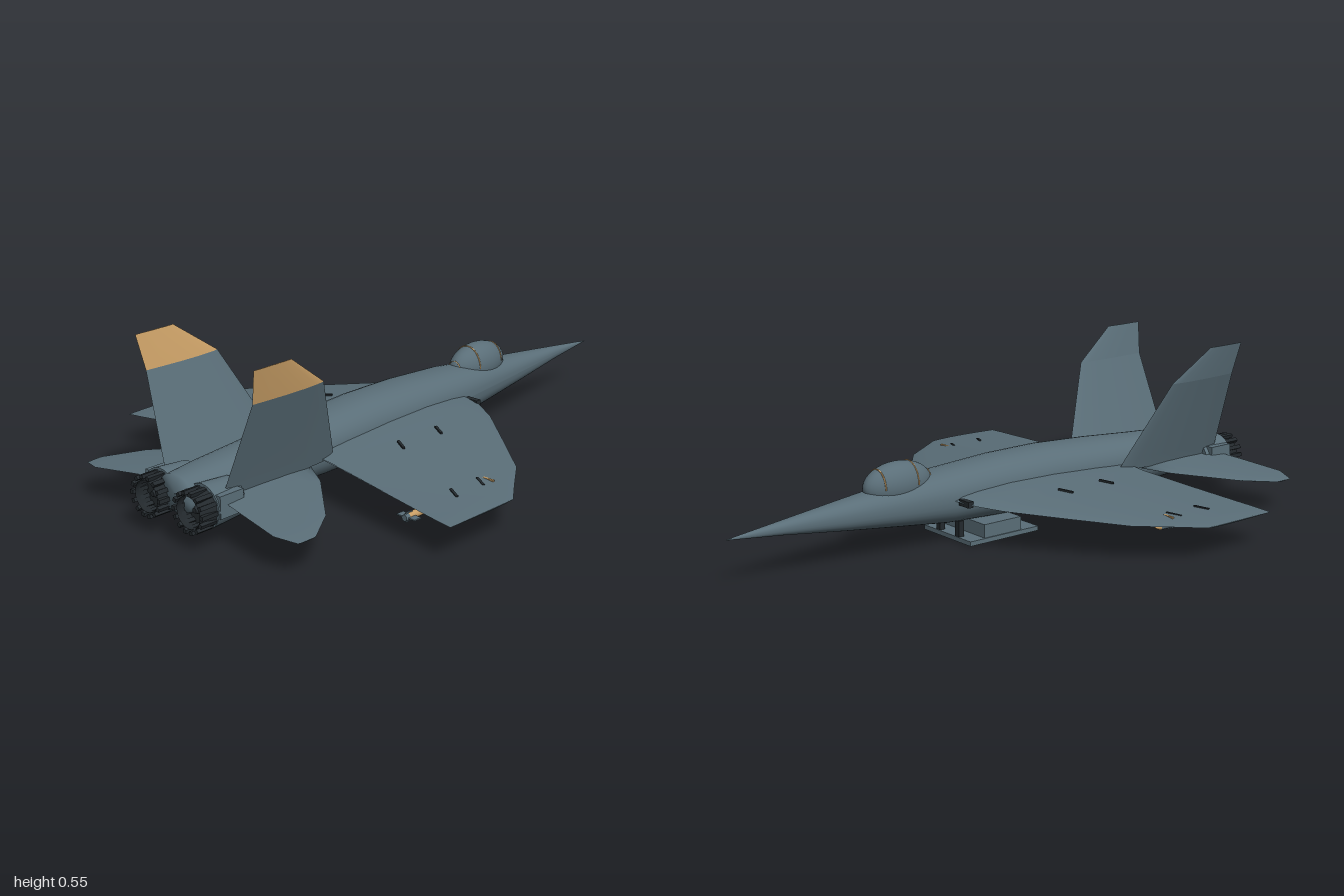
import * as THREE from 'three';

const material = (name, color, side = THREE.DoubleSide) => {
  const m = new THREE.MeshStandardMaterial({ color, side });
  m.name = name;
  return m;
};
const gray = material('slate gray', 0x5a6e78);
const tan = material('tan', 0xc99f66);
const dark = material('dark metal', 0x23292d);

// Smooth sheet through rows of [x, y, z] points
function sheet(rows) {
  const n = rows[0].length, index = [];
  for (let i = 0; i < rows.length - 1; i++) {
    for (let j = 0; j < n - 1; j++) {
      const a = i * n + j, b = a + n;
      index.push(a, b, a + 1, b, b + 1, a + 1);
    }
  }
  const g = new THREE.BufferGeometry();
  g.setAttribute('position', new THREE.Float32BufferAttribute(rows.flat(2), 3));
  g.setIndex(index);
  g.computeVertexNormals();
  return g;
}

// One face of an aerofoil; stations are [x, y, leading z, trailing z, half thickness]
const CHORD = [[0, 0], [0.04, 0.4], [0.12, 0.7], [0.3, 1], [0.55, 0.9], [0.8, 0.5], [1, 0.06]];
function foilFace(stations, side, face, upright) {
  return sheet(stations.map(([x, y, lead, trail, t]) => CHORD.map(([u, f]) => {
    const off = face * t * f;
    const z = lead + (trail - lead) * u;
    return upright ? [side * x + off, y, z] : [side * x, y + off, z];
  })));
}

export function createModel() {
  const model = new THREE.Group();
  model.name = 'jetFighter';
  const add = (name, geometry, mat, x = 0, y = 0, z = 0, parent = model) => {
    const m = new THREE.Mesh(geometry, mat);
    m.name = name;
    m.position.set(x, y, z);
    parent.add(m);
    return m;
  };
  const alongZ = (r0, r1, len, seg = 24, open = false) =>
    new THREE.CylinderGeometry(r1, r0, len, seg, 1, open).rotateX(Math.PI / 2);

  // Fuselage: [z, half width, bottom, top]
  const sections = [
    [-1, 0.001, 0.149, 0.151], [-0.8, 0.023, 0.128, 0.174], [-0.6, 0.05, 0.103, 0.196],
    [-0.4, 0.077, 0.08, 0.217], [-0.22, 0.1, 0.06, 0.236], [0, 0.109, 0.05, 0.248],
    [0.2, 0.111, 0.046, 0.249], [0.42, 0.11, 0.046, 0.237], [0.62, 0.1, 0.05, 0.222],
    [0.84, 0.086, 0.058, 0.208], [0.96, 0.07, 0.08, 0.198], [0.965, 0.001, 0.139, 0.141],
  ];
  add('fuselage', sheet(sections.map(([z, w, lo, hi]) =>
    Array.from({ length: 37 }, (_, i) => {
      const a = i / 36 * Math.PI * 2;
      const round = (v) => Math.sign(v) * Math.abs(v) ** 0.88;
      return [w * round(Math.cos(a)), (lo + hi) / 2 + (hi - lo) / 2 * round(Math.sin(a)), z];
    }))), gray);

  // Canopy with thin frame hoops
  const cz = -0.385, cy = 0.214, rx = 0.06, ry = 0.073, rz = 0.125;
  add('canopy', new THREE.SphereGeometry(1, 32, 20).scale(rx, ry, rz), gray, 0, cy, cz);
  for (const z of [-0.46, -0.34, -0.272]) {
    const k = Math.sqrt(1 - ((z - cz) / rz) ** 2);
    add('canopyFrame', new THREE.TorusGeometry(1, 0.035, 6, 32, Math.PI)
      .scale(rx * k, ry * k, 0.07), tan, 0, cy, z);
  }

  // Belly bay: flat tray, block and front posts
  add('bellyTray', new THREE.BoxGeometry(0.244, 0.015, 0.28), gray, 0, 0.0075, -0.05);
  add('bellyBlock', new THREE.BoxGeometry(0.236, 0.045, 0.15), gray, 0, 0.037, -0.055);

  const wing = [
    [0.06, 0.153, -0.24, 0.5, 0.026], [0.13, 0.149, -0.225, 0.5, 0.025],
    [0.18, 0.144, -0.2, 0.5, 0.023], [0.25, 0.139, -0.16, 0.507, 0.02],
    [0.4, 0.128, -0.04, 0.525, 0.014], [0.56, 0.117, 0.09, 0.545, 0.008],
    [0.64, 0.112, 0.2, 0.555, 0.005], [0.7, 0.108, 0.28, 0.56, 0.004],
    [0.701, 0.108, 0.28, 0.56, 0],
  ];
  const tailplane = [
    [0.1, 0.137, 0.83, 0.9, 0.009], [0.128, 0.135, 0.8, 0.9, 0.01],
    [0.13, 0.135, 0.54, 0.9, 0.011], [0.22, 0.128, 0.59, 0.917, 0.009],
    [0.39, 0.113, 0.74, 0.945, 0.005], [0.46, 0.104, 0.85, 0.92, 0.003],
    [0.462, 0.104, 0.86, 0.91, 0],
  ];
  const finLower = [
    [0.123, 0.14, 0.44, 0.89, 0.019], [0.137, 0.18, 0.455, 0.886, 0.017],
    [0.229, 0.438, 0.58, 0.862, 0.009],
  ];
  const finTip = [
    [0.229, 0.438, 0.58, 0.862, 0.009], [0.253, 0.546, 0.73, 0.877, 0.003],
    [0.253, 0.547, 0.73, 0.877, 0],
  ];

  for (const s of [1, -1]) {
    const side = new THREE.Group();
    side.name = s > 0 ? 'leftSide' : 'rightSide';
    model.add(side);
    const part = (name, g, m, x = 0, y = 0, z = 0) => add(name, g, m, s * x, y, z, side);

    // Wings, tailplanes and canted fins; fin tips are tan on their +x face
    for (const face of [1, -1]) {
      part('wing', foilFace(wing, s, face, false), gray);
      part('tailplane', foilFace(tailplane, s, face, false), gray);
      part('fin', foilFace(finLower, s, face, true), gray);
      part('finTip', foilFace(finTip, s, face, true), face > 0 ? tan : gray);
    }

    // Short slots and a small marker on the wing
    for (const [x, z] of [[0.25, 0.095], [0.25, 0.27], [0.565, 0.268], [0.565, 0.388]]) {
      const y = 0.161 - (x - 0.25) * 0.12;
      part('wingSlot', new THREE.BoxGeometry(0.05, 0.006, 0.008), dark, x, y, z)
        .rotation.set(0, -s * 0.48, -s * 0.1);
    }
    part('wingMarker', new THREE.BoxGeometry(0.04, 0.006, 0.008), tan, 0.572, 0.123, 0.238);

    // Engine housing and petalled nozzle
    part('engineHousing', alongZ(0.062, 0.07, 0.11), gray, 0.092, 0.118, 0.885);
    part('housingBlock', new THREE.BoxGeometry(0.05, 0.07, 0.09), gray, 0.138, 0.13, 0.89);
    part('nozzle', alongZ(0.064, 0.05, 0.06, 24, true), dark, 0.092, 0.115, 0.965);
    part('nozzleCore', new THREE.CircleGeometry(0.06, 24), dark, 0.092, 0.115, 0.942);
    part('nozzleHub', alongZ(0.022, 0.008, 0.03, 12), dark, 0.092, 0.115, 0.957);
    for (let i = 0; i < 14; i++) {
      const a = i / 14 * Math.PI * 2;
      part('nozzlePetal', new THREE.BoxGeometry(0.012, 0.013, 0.072), dark,
        0.092 + Math.cos(a) * 0.06, 0.115 + Math.sin(a) * 0.06, 0.964)
        .rotation.z = s > 0 ? a : -a;
    }

    // Front post of the belly bay and small intake block at the wing root
    part('bellyPost', new THREE.BoxGeometry(0.02, 0.055, 0.02), dark, 0.05, 0.04, -0.178);
    part('rootVent', new THREE.BoxGeometry(0.05, 0.02, 0.02), dark, 0.13, 0.148, -0.213);

    // Underwing missile on its pylon
    const mx = 0.49, my = 0.064;
    part('pylon', new THREE.BoxGeometry(0.014, 0.045, 0.11), gray, mx, 0.094, 0.4);
    part('missileBody', alongZ(0.012, 0.012, 0.155, 14), gray, mx, my, 0.3575);
    part('missileBand', alongZ(0.012, 0.012, 0.07, 14), tan, mx, my, 0.47);
    part('missileTail', alongZ(0.012, 0.01, 0.015, 14), gray, mx, my, 0.5125);
    part('missileNose', alongZ(0.002, 0.012, 0.02, 14), tan, mx, my, 0.27);
    for (const z of [0.33, 0.5]) {
      part('missileFin', new THREE.BoxGeometry(0.07, 0.004, 0.028), gray, mx, my, z);
      part('missileFin', new THREE.BoxGeometry(0.004, 0.03, 0.028), gray, mx, my, z);
    }
  }
  return model;
}
